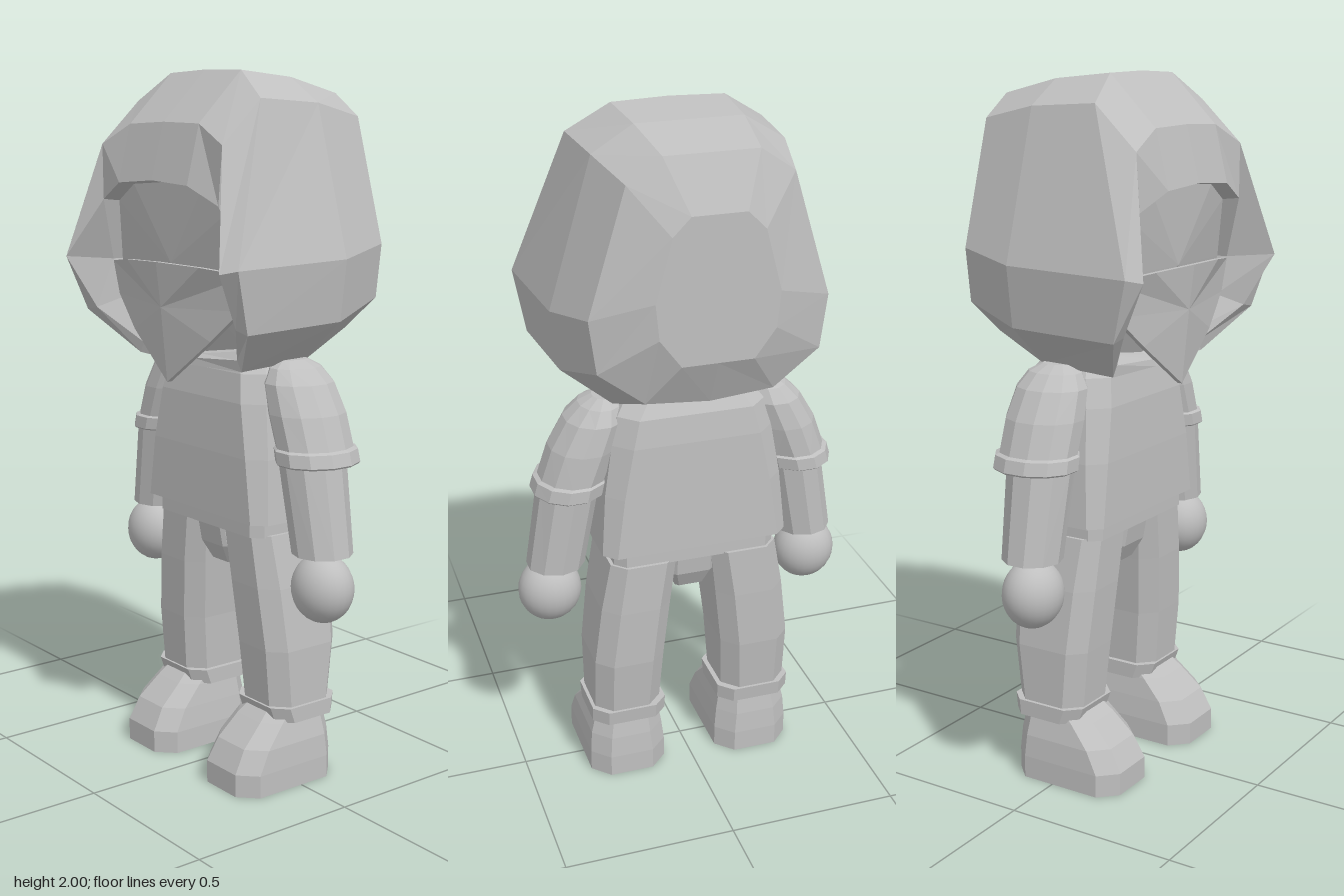
import * as THREE from 'three';

const clay = new THREE.MeshStandardMaterial({ color: 0xbfbfbf });
clay.name = 'light grey';

// Skin a list of equal-length point rings, fan-cap both ends, facets kept flat
function loft(name, rings, startCentre, endCentre) {
  const n = rings[0].length, tris = [];
  const mean = r => [0, 1, 2].map(k => r.reduce((s, p) => s + p[k], 0) / n);
  for (let i = 0; i < rings.length - 1; i++) {
    for (let j = 0; j < n; j++) {
      const k = (j + 1) % n, a = rings[i], b = rings[i + 1];
      tris.push([a[j], b[j], b[k]], [a[j], b[k], a[k]]);
    }
  }
  const first = rings[0], last = rings[rings.length - 1];
  const c0 = startCentre || mean(first), c1 = endCentre || mean(last);
  for (let j = 0; j < n; j++) {
    const k = (j + 1) % n;
    tris.push([c0, first[j], first[k]], [c1, last[k], last[j]]);
  }
  // Turn the shell outward when its signed volume is negative
  const o = mean(first), v = p => new THREE.Vector3(p[0] - o[0], p[1] - o[1], p[2] - o[2]);
  const volume = tris.reduce((s, t) => s + v(t[0]).dot(v(t[1]).cross(v(t[2]))), 0);
  if (volume < 0) tris.forEach(t => t.reverse());
  const g = new THREE.BufferGeometry();
  g.setAttribute('position', new THREE.Float32BufferAttribute(tris.flat(2), 3));
  g.computeVertexNormals();
  const mesh = new THREE.Mesh(g, clay);
  mesh.name = name;
  return mesh;
}

// Chamfered rectangle at height y; s mirrors it in x
function oct(x0, x1, y, z0, z1, c, s = 1) {
  return [[x0 + c, z0], [x1 - c, z0], [x1, z0 + c], [x1, z1 - c],
    [x1 - c, z1], [x0 + c, z1], [x0, z1 - c], [x0, z0 + c]].map(([x, z]) => [s * x, y, z]);
}

// Ellipse at height y
function oval(cx, y, cz, rx, rz, s, n = 12) {
  return Array.from({ length: n }, (_, i) => {
    const a = (i + 0.5) / n * Math.PI * 2;
    return [s * (cx + rx * Math.cos(a)), y, cz + rz * Math.sin(a)];
  });
}

// Complete a half outline (top to bottom) with its mirror image
function mirrorRing(half) {
  return half.concat(half.slice(1, -1).reverse().map(([x, y, z]) => [-x, y, z]));
}

function buildHead() {
  const head = new THREE.Group();
  head.name = 'head';
  const at = (z, pts) => pts.map(([x, y]) => [x, y, z]);
  const sections = [
    // back of the hood
    at(-0.325, [[0, 1.8], [0.075, 1.8], [0.125, 1.75], [0.17, 1.58], [0.16, 1.48], [0.1, 1.4], [0, 1.4]]),
    at(-0.26, [[0, 1.94], [0.13, 1.94], [0.225, 1.875], [0.33, 1.53], [0.31, 1.38], [0.18, 1.28], [0, 1.265]]),
    at(-0.08, [[0, 1.98], [0.15, 1.98], [0.265, 1.91], [0.388, 1.5], [0.365, 1.33], [0.22, 1.21], [0, 1.205]]),
    // front rim
    [[0, 2, 0.1], [0.16, 1.995, 0.1], [0.28, 1.92, 0.13], [0.405, 1.49, 0.3], [0.38, 1.32, 0.25], [0.24, 1.2, 0.16], [0, 1.19, 0.15]],
    [[0, 1.86, 0.24], [0.16, 1.855, 0.24], [0.28, 1.8, 0.255], [0.365, 1.48, 0.33], [0.33, 1.33, 0.25], [0.22, 1.23, 0.16], [0, 1.21, 0.145]],
    // brow and lining
    [[0, 1.705, 0.28], [0.16, 1.695, 0.28], [0.27, 1.645, 0.26], [0.315, 1.47, 0.2], [0.29, 1.36, 0.18], [0.2, 1.25, 0.13], [0, 1.22, 0.12]],
    // recessed face
    [[0, 1.7, 0.23], [0.16, 1.69, 0.23], [0.265, 1.64, 0.21], [0.312, 1.47, 0.17], [0.285, 1.36, 0.15], [0.195, 1.255, 0.11], [0, 1.225, 0.1]],
  ];
  head.add(loft('hood', sections.map(mirrorRing), null, [0, 1.48, 0.22]));

  // Pointed face cloth
  const front = mirrorRing([[0, 1.485, 0.27], [0.17, 1.48, 0.25], [0.315, 1.465, 0.2],
    [0.285, 1.37, 0.2], [0.18, 1.28, 0.22], [0, 1.15, 0.235]]);
  const back = front.map(([x, y, z]) => [x, y, z - 0.015]);
  head.add(loft('faceCloth', [back, front], [0, 1.36, 0.235], [0, 1.36, 0.255]));
  return head;
}

function buildTorso() {
  const torso = new THREE.Group();
  torso.name = 'torso';
  torso.add(loft('shirt', [
    oct(-0.275, 0.275, 0.77, -0.175, 0.13, 0.035),
    oct(-0.26, 0.26, 0.95, -0.17, 0.128, 0.045),
    oct(-0.235, 0.235, 1.1, -0.165, 0.12, 0.05),
    oct(-0.215, 0.215, 1.18, -0.155, 0.105, 0.05),
    oct(-0.17, 0.17, 1.24, -0.12, 0.08, 0.05),
  ]));
  torso.add(loft('waistband', [
    oct(-0.24, 0.24, 0.725, -0.16, 0.108, 0.03),
    oct(-0.24, 0.24, 0.78, -0.16, 0.108, 0.03),
  ]));
  torso.add(loft('crotch', [
    oct(-0.045, 0.045, 0.605, -0.1, 0.05, 0.01),
    oct(-0.06, 0.06, 0.66, -0.13, 0.08, 0.01),
    oct(-0.06, 0.06, 0.74, -0.14, 0.095, 0.01),
  ]));
  return torso;
}

function buildArm(s) {
  const arm = new THREE.Group();
  arm.name = s > 0 ? 'leftArm' : 'rightArm';
  arm.add(loft('sleeve', [
    oval(0.345, 0.945, -0.025, 0.1, 0.118, s),
    oval(0.342, 0.95, -0.025, 0.107, 0.125, s),
    oval(0.333, 0.985, -0.025, 0.106, 0.124, s),
    oval(0.328, 0.99, -0.025, 0.098, 0.115, s),
    oval(0.295, 1.08, -0.025, 0.1, 0.115, s),
    oval(0.26, 1.16, -0.025, 0.088, 0.105, s),
    oval(0.245, 1.2, -0.025, 0.06, 0.08, s),
    oval(0.235, 1.22, -0.025, 0.03, 0.045, s),
  ]));
  arm.add(loft('forearm', [
    oval(0.383, 0.7, -0.01, 0.085, 0.085, s, 10),
    oval(0.335, 0.97, -0.01, 0.09, 0.097, s, 10),
  ]));
  const hand = new THREE.Mesh(new THREE.SphereGeometry(1, 24, 16), clay);
  hand.name = 'hand';
  hand.scale.set(0.093, 0.097, 0.083);
  hand.position.set(s * 0.4, 0.608, 0.003);
  arm.add(hand);
  return arm;
}

function buildLeg(s) {
  const leg = new THREE.Group();
  leg.name = s > 0 ? 'leftLeg' : 'rightLeg';
  leg.add(loft('trouserLeg', [
    oct(0.1, 0.3, 0.22, -0.145, 0.07, 0.045, s),
    oct(0.09, 0.3, 0.4, -0.165, 0.085, 0.045, s),
    oct(0.07, 0.278, 0.58, -0.17, 0.097, 0.045, s),
    oct(0.052, 0.25, 0.73, -0.17, 0.103, 0.04, s),
  ]));
  leg.add(loft('trouserCuff', [
    oct(0.085, 0.31, 0.19, -0.15, 0.062, 0.04, s),
    oct(0.085, 0.31, 0.235, -0.155, 0.078, 0.04, s),
  ]));
  leg.add(loft('boot', [
    oct(0.083, 0.315, 0, -0.145, 0.2, 0.05, s),
    oct(0.083, 0.315, 0.065, -0.145, 0.2, 0.05, s),
    oct(0.09, 0.31, 0.13, -0.14, 0.165, 0.05, s),
    oct(0.1, 0.295, 0.19, -0.13, 0.1, 0.045, s),
    oct(0.11, 0.285, 0.225, -0.12, 0.06, 0.045, s),
  ]));
  return leg;
}

export function createModel() {
  const model = new THREE.Group();
  model.name = 'hoodedFigure';
  model.add(buildHead(), buildTorso());
  for (const s of [1, -1]) model.add(buildArm(s), buildLeg(s));
  return model;
}
